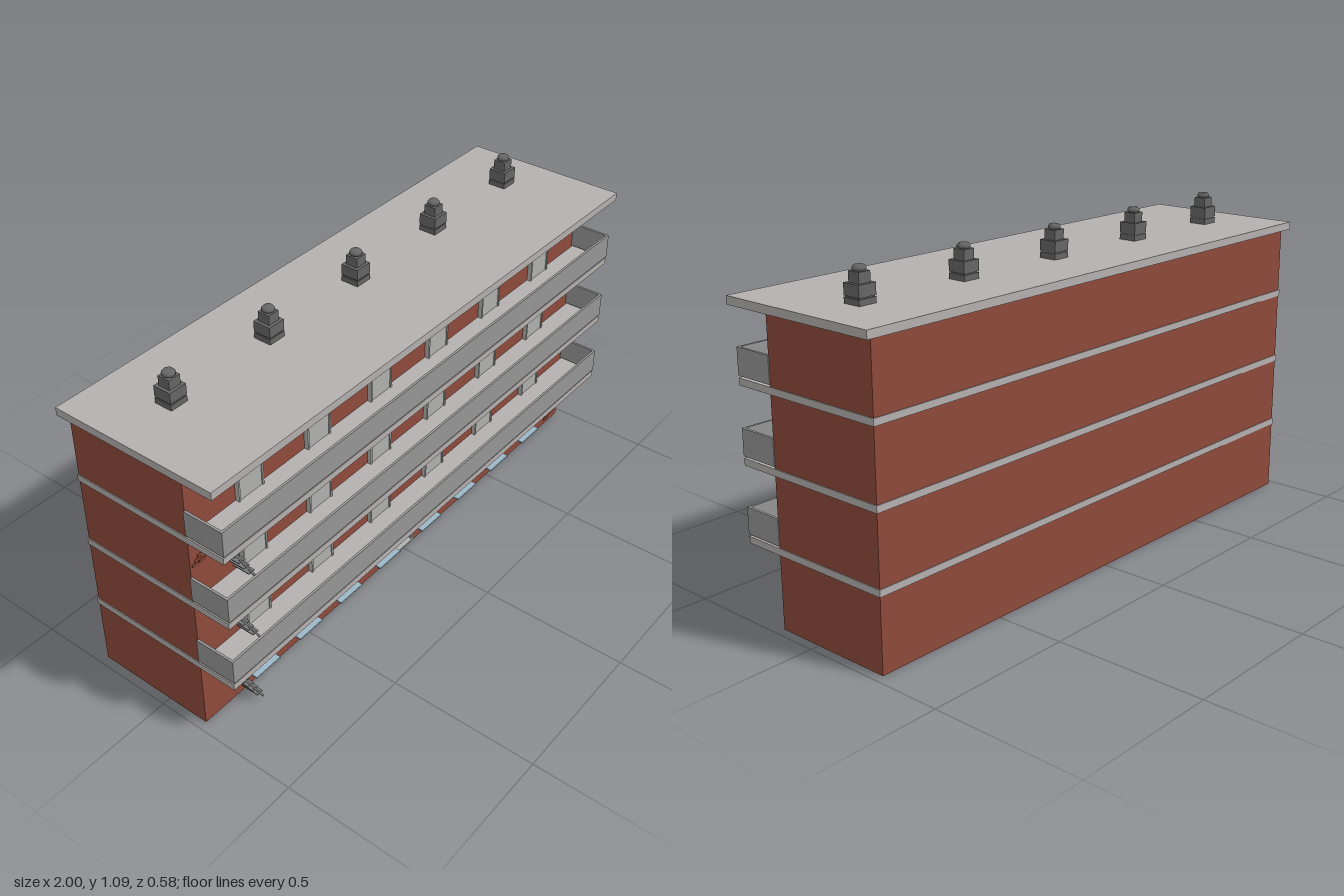
import * as THREE from 'three';

const mat = (color) => new THREE.MeshStandardMaterial({ color });

export function createModel() {
  const root = new THREE.Group();
  root.name = 'apartmentBlock';
  const brick = mat(0x8f4a3b), concrete = mat(0xb5b0af), parapet = mat(0x969696);
  const grey = mat(0xb0b0ae), dark = mat(0x666666), glass = mat(0x9cb8c6);
  const brass = mat(0xa39430), steel = mat(0x77787a);

  const group = (name) => {
    const g = new THREE.Group();
    g.name = name;
    root.add(g);
    return g;
  };
  // Box given by its extents on each axis
  const box = (parent, name, m, [x0, x1], [y0, y1], [z0, z1]) => {
    const mesh = new THREE.Mesh(new THREE.BoxGeometry(x1 - x0, y1 - y0, z1 - z0), m);
    mesh.position.set((x0 + x1) / 2, (y0 + y1) / 2, (z0 + z1) / 2);
    mesh.name = name;
    parent.add(mesh);
    return mesh;
  };

  const FRONT = 0.152, BACK = -0.27, HALF = 0.972;
  const floors = [0.258, 0.5, 0.741];
  const doorX = [-0.73, -0.438, -0.146, 0.146, 0.438, 0.732];
  const windowX = [-0.73, -0.527, -0.325, -0.12, 0.114, 0.324, 0.526, 0.732];

  // Brick walls, with a passage cut into the ground floor
  const walls = group('walls');
  const shape = new THREE.Shape();
  [[-HALF, 0], [-0.067, 0], [-0.067, 0.18], [0.06, 0.18], [0.06, 0], [HALF, 0], [HALF, 0.96], [-HALF, 0.96]]
    .forEach(([x, y], i) => (i ? shape.lineTo(x, y) : shape.moveTo(x, y)));
  const wallGeo = new THREE.ExtrudeGeometry(shape, { depth: FRONT + 0.14, bevelEnabled: false });
  const wallFront = new THREE.Mesh(wallGeo, brick);
  wallFront.position.z = -0.14;
  wallFront.name = 'frontBlock';
  walls.add(wallFront);
  box(walls, 'backBlock', brick, [-HALF, HALF], [0, 0.96], [BACK, -0.14]);

  // Scattered raised bricks on the facade
  const bricks = group('raisedBricks');
  [[-0.94, 0.64], [-0.63, 0.385], [-0.54, 0.44], [-0.03, 0.685], [0.25, 0.9], [0.345, 0.342],
    [0.36, 0.14], [0.215, 0.095], [0.585, 0.6], [0.91, 0.032]].forEach(([x, y], k) => {
    for (let r = 0; r < 3; r++) {
      for (let c = 0; c < 2 - (r + k) % 2; c++) {
        const bx = x - 0.025 + c * 0.028 + r * 0.011;
        box(bricks, 'brick', brick, [bx, bx + 0.024], [y + r * 0.011 - 0.016, y + r * 0.011 - 0.007], [FRONT - 0.002, FRONT + 0.003]);
      }
    }
  });

  // Entrance passage lining, floor and door leaf
  const entrance = group('entrance');
  box(entrance, 'entranceFloor', grey, [-0.067, 0.06], [-0.0005, 0.005], [-0.139, FRONT + 0.001]);
  box(entrance, 'entranceBack', grey, [-0.067, 0.06], [0.005, 0.18], [-0.14, -0.134]);
  box(entrance, 'entranceCeiling', grey, [-0.067, 0.06], [0.177, 0.181], [-0.139, FRONT + 0.001]);
  for (const x of [-0.067, 0.057]) {
    box(entrance, 'entranceSide', grey, [x, x + 0.003], [0.005, 0.18], [-0.139, FRONT + 0.001]);
  }
  box(entrance, 'entrancePost', concrete, [0.048, 0.054], [0.005, 0.177], [FRONT - 0.012, FRONT - 0.004]);
  for (const y of [0.085, 0.11]) {
    box(entrance, 'doorPlate', steel, [-0.018, 0.016], [y, y + 0.02], [-0.135, -0.128]);
  }

  // Ground-floor windows: frame, two panes, sill
  const windows = group('windows');
  for (const x of windowX) {
    const w = 0.051;
    for (const s of [-1, 1]) {
      const e = x + s * (w - 0.002);
      box(windows, 'windowJamb', grey, [e - 0.002, e + 0.002], [0.055, 0.182], [FRONT - 0.002, 0.167]);
    }
    for (const y of [0.055, 0.115, 0.178]) {
      box(windows, 'windowRail', glass, [x - w, x + w], [y, y + 0.004], [FRONT - 0.002, 0.167]);
    }
    box(windows, 'windowPane', glass, [x - w + 0.004, x + w - 0.004], [0.058, 0.179], [FRONT - 0.002, 0.163]);
    box(windows, 'windowSill', glass, [x - w - 0.003, x + w + 0.003], [0.05, 0.056], [FRONT - 0.002, 0.189]);
  }

  // Floor slabs with balconies and doors on every upper floor
  const slabs = group('floorSlabs'), balconies = group('balconies'), doors = group('balconyDoors');
  for (const y of floors) {
    box(slabs, 'floorSlab', concrete, [-0.975, 0.975], [y - 0.022, y], [-0.273, 0.287]);
    const h = [y + 0.006, y + 0.091];
    box(balconies, 'balconyFront', parapet, [-0.975, 0.975], h, [0.281, 0.289]);
    for (const s of [-1, 1]) {
      box(balconies, 'balconySide', parapet, [s * 0.971 - 0.004, s * 0.971 + 0.004], h, [FRONT - 0.002, 0.282]);
    }
    for (const x of doorX) {
      const top = y + 0.183;
      box(doors, 'doorLeaf', grey, [x - 0.048, x + 0.048], [y, top - 0.003], [FRONT - 0.002, 0.163]);
      for (const s of [-1, 1]) {
        const e = x + s * 0.048;
        box(doors, 'doorJamb', grey, [e - 0.003, e + 0.003], [y, top], [FRONT - 0.002, 0.167]);
      }
      box(doors, 'doorHead', grey, [x - 0.051, x + 0.051], [top - 0.005, top], [FRONT - 0.002, 0.167]);
    }
  }

  // Roof slab
  box(root, 'roof', concrete, [-1, 1], [0.958, 0.984], [-0.288, 0.288]);

  // Round ceiling lamps under the slabs
  const lamps = group('lamps');
  const lampGeo = new THREE.SphereGeometry(0.012, 16, 10);
  const lamp = (x, y) => {
    const m = new THREE.Mesh(lampGeo, brass);
    m.position.set(x, y, 0.22);
    m.name = 'lamp';
    lamps.add(m);
  };
  lamp(0, 0.235);
  for (const y of [0.478, 0.719, 0.958]) doorX.forEach((x) => lamp(x, y));

  // Chimneys: stepped square stack with a round cap
  const capProfile = [[0, 0], [0.016, 0], [0.02, 0.004], [0.02, 0.01], [0.015, 0.016], [0, 0.016]]
    .map(([r, y]) => new THREE.Vector2(r, y));
  for (let i = 0; i < 5; i++) {
    const c = group('chimney');
    c.position.set(-0.787 + i * 0.401, 0, -0.06);
    const tier = (name, r, y0, y1) => box(c, name, dark, [-r, r], [y0, y1], [-r, r]);
    tier('chimneyBase', 0.031, 0.983, 1.002);
    tier('chimneyJoint', 0.028, 1.002, 1.006);
    tier('chimneyBody', 0.031, 1.006, 1.042);
    tier('chimneyNeck', 0.021, 1.042, 1.074);
    const cap = new THREE.Mesh(new THREE.LatheGeometry(capProfile, 16), dark);
    cap.position.y = 1.074;
    cap.name = 'chimneyCap';
    c.add(cap);
  }

  // Fire stairs: one flight of open treads per storey
  const up = new THREE.Vector3(0, 1, 0);
  [0, ...floors.slice(0, 2)].forEach((y0, k) => {
    const y1 = floors[k] - 0.022;
    const stairs = group('fireStairs');
    const a = new THREE.Vector3(-0.79, y0, 0), b = new THREE.Vector3(-0.79 - (y1 - y0) * 0.54, y1, 0);
    const dir = b.clone().sub(a);
    for (const z of [0.158, 0.217]) {
      const rail = new THREE.Mesh(new THREE.BoxGeometry(0.006, dir.length(), 0.003), steel);
      rail.position.copy(a).lerp(b, 0.5).setZ(z);
      rail.quaternion.setFromUnitVectors(up, dir.clone().normalize());
      rail.name = 'stairStringer';
      stairs.add(rail);
    }
    for (let y = y0 + 0.026; y < y1; y += 0.0335) {
      const x = -0.79 - (y - y0) * 0.54;
      box(stairs, 'stairTread', steel, [x - 0.012, x + 0.012], [y - 0.0015, y + 0.0015], [0.157, 0.218]);
    }
  });

  return root;
}
